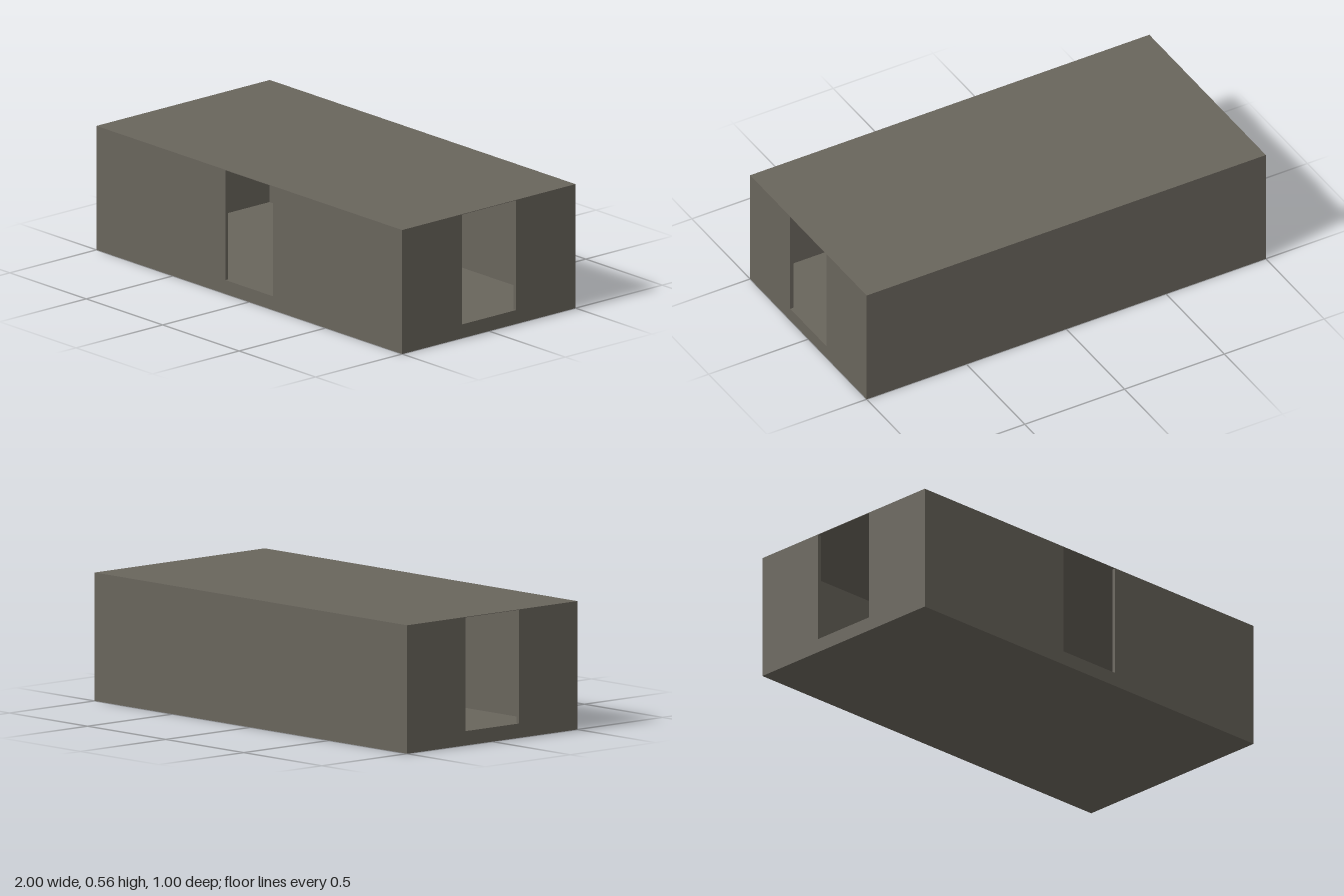
import * as THREE from 'three';

const W = 2, D = 1, H = 0.5625;      // overall size
const T = 1 / 64;                    // wall and floor thickness
const ROOF = 0.002;                  // sheet roof thickness
const DOOR = 0.15625, SILL = 0.0625; // doorway half width and sill height

export function createModel() {
  const group = new THREE.Group();
  const stone = new THREE.MeshStandardMaterial({ color: 0x69655c });
  stone.name = 'grey stone';

  function add(name, geometry, x, y, z, turn = 0) {
    const mesh = new THREE.Mesh(geometry, stone);
    mesh.name = name;
    mesh.position.set(x, y, z);
    mesh.rotation.y = turn;
    group.add(mesh);
  }

  // Wall with a doorway running from the sill up to the roof
  function doorWall(length) {
    const h = H - ROOF, a = length / 2;
    const shape = new THREE.Shape([
      [-a, 0], [a, 0], [a, h], [DOOR, h], [DOOR, SILL],
      [-DOOR, SILL], [-DOOR, h], [-a, h],
    ].map(([x, y]) => new THREE.Vector2(x, y)));
    return new THREE.ExtrudeGeometry(shape, { depth: T, bevelEnabled: false });
  }

  // Front wall, and the two end walls turned outwards
  add('frontWall', doorWall(W), 0, 0, D / 2 - T);
  for (const [name, side] of [['leftWall', 1], ['rightWall', -1]]) {
    add(name, doorWall(D), side * (W / 2 - T), 0, 0, side * Math.PI / 2);
  }

  // Closed back wall
  add('backWall', new THREE.BoxGeometry(W, H - ROOF, T), 0, (H - ROOF) / 2, -D / 2 + T / 2);

  // Floor slab and sheet roof
  add('floor', new THREE.BoxGeometry(W - 2 * T, T, D - 2 * T), 0, T / 2, 0);
  add('roof', new THREE.BoxGeometry(W, ROOF, D), 0, H - ROOF / 2, 0);

  return group;
}
